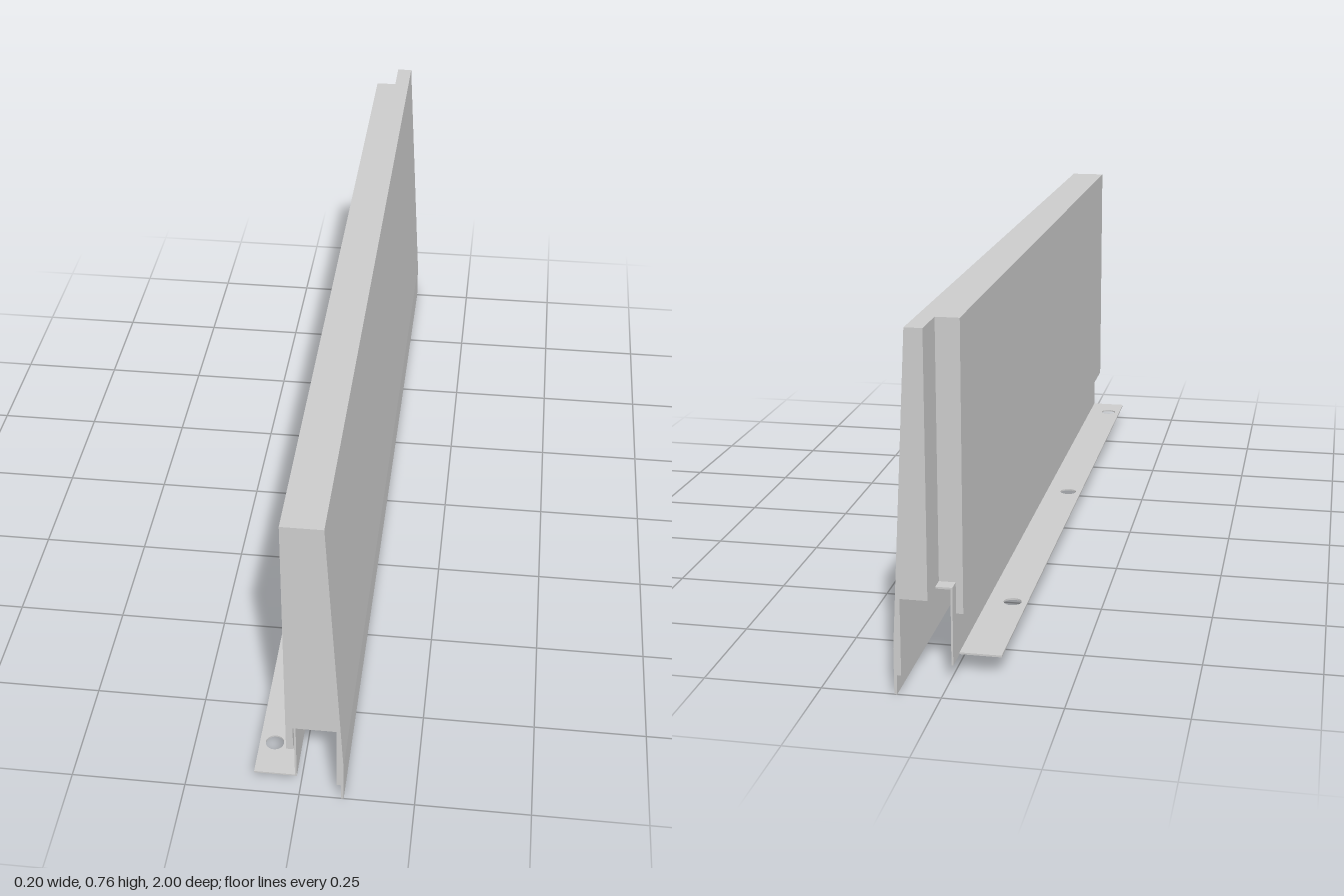
import * as THREE from 'three';

const material = new THREE.MeshStandardMaterial({ color: 0xcccccc, flatShading: true });

// Extrude an x-y section along z, from z0 to z1
function sectionAlongZ(name, points, z0, z1) {
  const shape = new THREE.Shape(points.map(([x, y]) => new THREE.Vector2(x, y)));
  const geometry = new THREE.ExtrudeGeometry(shape, { depth: z1 - z0, bevelEnabled: false });
  geometry.translate(0, 0, z0);
  const mesh = new THREE.Mesh(geometry, material);
  mesh.name = name;
  return mesh;
}

export function createModel() {
  const group = new THREE.Group();
  group.name = 'sidePanel';

  const stepZ = -0.905; // where the inner side of the panel steps back
  const slotTop = 0.207;

  // Tapered outer face with its stepped drip lip, shared by both panel sections
  const outerEdge = [
    [0.082, slotTop], [0.082, 0.042], [0.091, 0.042], [0.091, 0],
    [0.097, 0], [0.097, 0.1], [0.062, 0.76],
  ];

  // Full-depth panel
  group.add(sectionAlongZ('panelBody', [
    [-0.025, 0.76], [-0.025, 0.143], [-0.01, 0.143], [-0.01, slotTop], ...outerEdge,
  ], stepZ, 1));

  // Thinner rear end of the panel
  group.add(sectionAlongZ('panelRearStep', [
    [0.025, 0.76], [0.025, slotTop], ...outerEdge,
  ], -1, stepZ));

  // Sheet bracket: web and top flange
  group.add(sectionAlongZ('bracketWeb', [
    [-0.01, 0.042], [-0.006, 0.042], [-0.006, slotTop], [0.082, slotTop],
    [0.082, 0.211], [-0.01, 0.211],
  ], -0.935, 0.985));

  // Mounting flange with three round holes, drawn in plan and laid flat
  const z0 = -0.88, z1 = 0.985;
  const plan = new THREE.Shape([
    new THREE.Vector2(-0.099, -z1), new THREE.Vector2(-0.01, -z1),
    new THREE.Vector2(-0.01, -z0), new THREE.Vector2(-0.099, -z0),
  ]);
  for (const z of [-0.6, 0.15, 0.9]) {
    plan.holes.push(new THREE.Path().absarc(-0.066, -z, 0.02, 0, Math.PI * 2, true));
  }
  const flangeGeometry = new THREE.ExtrudeGeometry(plan, { depth: 0.004, bevelEnabled: false, curveSegments: 32 });
  flangeGeometry.rotateX(-Math.PI / 2).translate(0, 0.042, 0);
  const flange = new THREE.Mesh(flangeGeometry, material);
  flange.name = 'mountingFlange';
  group.add(flange);

  return group;
}
